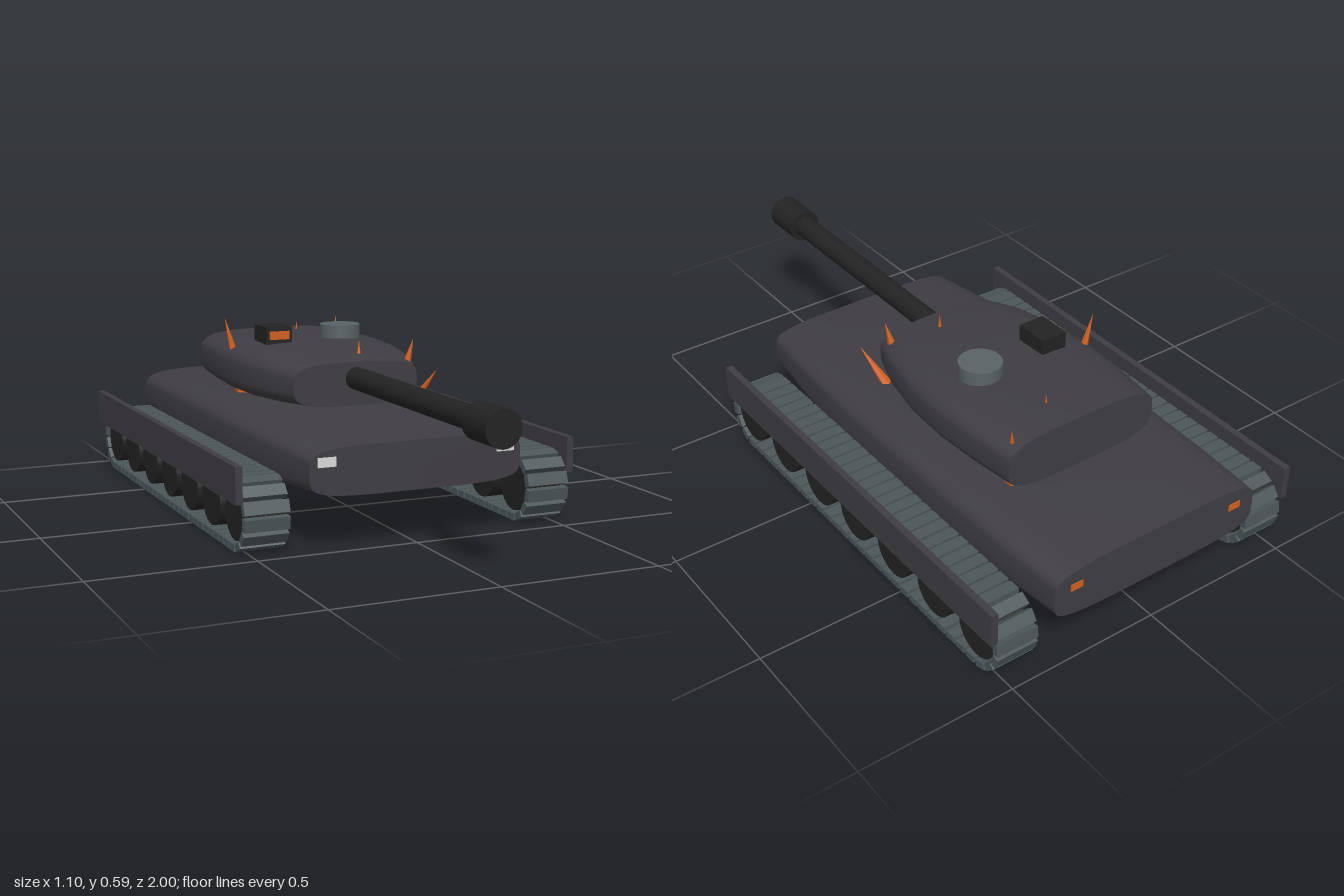
import * as THREE from 'three';

const mat = (name, color) => Object.assign(new THREE.MeshStandardMaterial({ color }), { name });

export function createModel() {
  const armour = mat('dark armour', 0x3f3d43);
  const black = mat('gun black', 0x232323);
  const steel = mat('track steel', 0x4c5659);
  const hatchGrey = mat('hatch grey', 0x596366);
  const orange = mat('orange', 0xd2601f);
  const lamp = mat('lamp white', 0xdadada);

  const model = new THREE.Group();
  model.name = 'tank';

  function add(name, geometry, material, x = 0, y = 0, z = 0, parent = model) {
    const mesh = new THREE.Mesh(geometry, material);
    mesh.name = name;
    mesh.position.set(x, y, z);
    parent.add(mesh);
    return mesh;
  }
  const box = (w, h, d) => new THREE.BoxGeometry(w, h, d);

  // Loft of superellipse sections [z, halfWidth, bottom, top] with flat end caps
  function loft(stations, power, segments = 48) {
    const pos = [], index = [];
    const ring = ([z, w, y0, y1]) => {
      for (let j = 0; j < segments; j++) {
        const a = (j / segments) * Math.PI * 2, c = Math.cos(a), s = Math.sin(a);
        pos.push(w * Math.sign(c) * Math.abs(c) ** (2 / power),
          (y0 + y1) / 2 + (y1 - y0) / 2 * Math.sign(s) * Math.abs(s) ** (2 / power), z);
      }
    };
    stations.forEach(ring);
    for (let i = 0; i < stations.length - 1; i++) {
      for (let j = 0; j < segments; j++) {
        const k = (j + 1) % segments;
        const a = i * segments + j, b = i * segments + k;
        index.push(a, b, a + segments, b, b + segments, a + segments);
      }
    }
    for (const [station, front] of [[stations[0], false], [stations.at(-1), true]]) {
      const start = pos.length / 3;
      ring(station);
      const centre = pos.length / 3;
      pos.push(0, (station[2] + station[3]) / 2, station[0]);
      for (let j = 0; j < segments; j++) {
        const a = start + j, b = start + (j + 1) % segments;
        index.push(centre, front ? a : b, front ? b : a);
      }
    }
    const g = new THREE.BufferGeometry();
    g.setAttribute('position', new THREE.Float32BufferAttribute(pos, 3));
    g.setIndex(index);
    g.computeVertexNormals();
    return g;
  }

  // Hull and turret
  add('hull', loft([
    [-1, 0.365, 0.16, 0.328], [-0.8, 0.377, 0.147, 0.335], [-0.55, 0.384, 0.14, 0.34],
    [-0.25, 0.387, 0.14, 0.34], [0.05, 0.383, 0.14, 0.334], [0.28, 0.368, 0.147, 0.324],
    [0.5, 0.342, 0.16, 0.308],
  ], 4.5), armour);
  add('turret', loft([
    [-0.66, 0.265, 0.34, 0.506], [-0.5, 0.283, 0.335, 0.51], [-0.35, 0.29, 0.33, 0.51],
    [-0.2, 0.283, 0.33, 0.506], [-0.05, 0.255, 0.335, 0.495], [0.065, 0.212, 0.34, 0.478],
  ], 3.6), armour);

  // Gun
  add('barrel', new THREE.CylinderGeometry(0.036, 0.036, 0.9, 24).rotateX(Math.PI / 2), black, 0, 0.426, 0.43);
  add('muzzle', new THREE.CylinderGeometry(0.055, 0.055, 0.135, 24).rotateX(Math.PI / 2), black, 0, 0.426, 0.9325);

  // Turret fittings
  add('hatch', new THREE.CylinderGeometry(0.067, 0.067, 0.06, 24), hatchGrey, 0.113, 0.52, -0.32);
  add('sightBox', box(0.088, 0.07, 0.112), black, -0.136, 0.524, -0.299);
  add('sightLens', box(0.068, 0.027, 0.008), orange, -0.136, 0.532, -0.242);

  // Lamps
  for (const s of [-1, 1]) {
    add('headlight', box(0.056, 0.028, 0.008), lamp, s * 0.289, 0.266, 0.501);
    add('tailLight', box(0.042, 0.022, 0.008), orange, s * 0.29, 0.266, -1.0 + 0.001);
  }

  // Running gear
  const frontZ = 0.366, rearZ = -0.858, axleY = 0.11, r = 0.098;
  const run = frontZ - rearZ, arc = Math.PI * r, total = 2 * (run + arc), links = 66;
  const wheelGeo = new THREE.CylinderGeometry(0.08, 0.08, 0.12, 24).rotateZ(Math.PI / 2);
  const linkGeo = box(0.139, 0.022, 0.038);

  // Position and pitch angle at distance d along the track loop
  function trackPoint(d) {
    if (d < run) return [axleY + r, rearZ + d, 0];
    d -= run;
    if (d < arc) return [axleY + r * Math.cos(d / r), frontZ + r * Math.sin(d / r), d / r];
    d -= arc;
    if (d < run) return [axleY - r, frontZ - d, Math.PI];
    const a = Math.PI + (d - run) / r;
    return [axleY + r * Math.cos(a), rearZ + r * Math.sin(a), a];
  }

  for (const [side, s] of [['left', 1], ['right', -1]]) {
    const gear = new THREE.Group();
    gear.name = side + 'RunningGear';
    model.add(gear);
    for (let i = 0; i < 7; i++) {
      add('roadWheel', wheelGeo, black, s * 0.459, axleY, frontZ - run * i / 6, gear);
    }
    for (let i = 0; i < links; i++) {
      const [y, z, a] = trackPoint(total * i / links);
      add('trackLink', linkGeo, steel, s * 0.459, y, z, gear).rotation.x = a;
    }
    add('sideSkirt', box(0.022, 0.11, 1.43), armour, s * 0.54, 0.212, -0.252, gear);
  }

  // Spikes piercing the body, each from base point to tip
  const spikes = [
    [[-0.175, 0.14, -0.34], [-0.285, 0.588, -0.355], 0.05],
    [[0.028, 0.08, -0.56], [0.05, 0.54, -0.55], 0.05],
    [[0.13, 0.093, -0.13], [0.272, 0.443, 0.09], 0.052],
    [[0.15, 0.2, -0.03], [0.213, 0.537, 0.035], 0.055],
    [[0.19, 0.2, -0.6], [0.234, 0.537, -0.63], 0.045],
    [[0.035, 0.2, -0.01], [0.05, 0.535, -0.025], 0.045],
  ];
  const up = new THREE.Vector3(0, 1, 0);
  for (const [from, to, radius] of spikes) {
    const a = new THREE.Vector3(...from), b = new THREE.Vector3(...to);
    const dir = b.clone().sub(a), length = dir.length();
    const g = new THREE.ConeGeometry(radius, length, 6).toNonIndexed();
    g.computeVertexNormals();
    const mid = a.add(b).multiplyScalar(0.5);
    add('spike', g, orange, mid.x, mid.y, mid.z).quaternion.setFromUnitVectors(up, dir.normalize());
  }

  return model;
}
